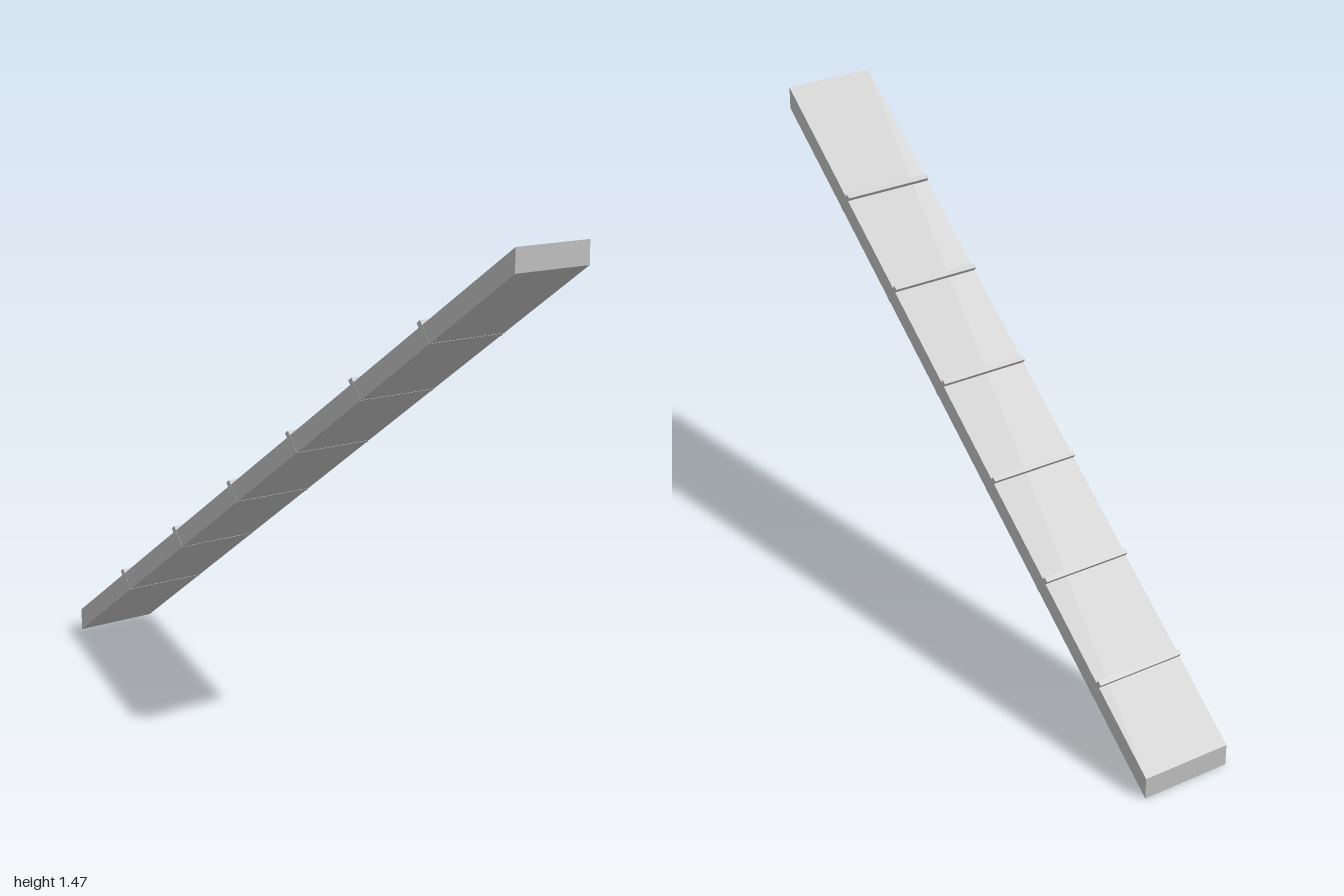
import * as THREE from 'three';

const WIDTH = 0.285;  // across the ramp (z)
const RISE = 1.403;   // climb over the 2 unit run
const DEPTH = 0.07;   // vertical thickness of the deck
const ANGLE = Math.atan2(RISE, 2);

export function createModel() {
  const group = new THREE.Group();
  const grey = new THREE.MeshStandardMaterial({ color: 0xbfbfbf });
  grey.name = 'plain grey';

  // Sloping deck with upright ends
  const profile = new THREE.Shape([
    new THREE.Vector2(-1, 0),
    new THREE.Vector2(1, RISE),
    new THREE.Vector2(1, RISE + DEPTH),
    new THREE.Vector2(-1, DEPTH),
  ]);
  const deckGeometry = new THREE.ExtrudeGeometry(profile, { depth: WIDTH, bevelEnabled: false });
  deckGeometry.translate(0, 0, -WIDTH / 2);
  const deck = new THREE.Mesh(deckGeometry, grey);
  deck.name = 'rampDeck';
  group.add(deck);

  // Cross cleats set square to the slope, through the deck and proud of its top
  const thickness = DEPTH * Math.cos(ANGLE);
  const proud = 0.015;
  const under = 0.0008;
  const cleatGeometry = new THREE.BoxGeometry(0.016, thickness + proud + under, WIDTH + 0.001);
  cleatGeometry.translate(0, (proud - thickness - under) / 2, 0); // origin on the deck top
  for (let i = 0; i < 6; i++) {
    const x = -0.754 + i * 0.28;
    const cleat = new THREE.Mesh(cleatGeometry, grey);
    cleat.name = `cleat${i + 1}`;
    cleat.position.set(x, DEPTH + (x + 1) * RISE / 2, 0);
    cleat.rotation.z = ANGLE;
    group.add(cleat);
  }

  return group;
}
